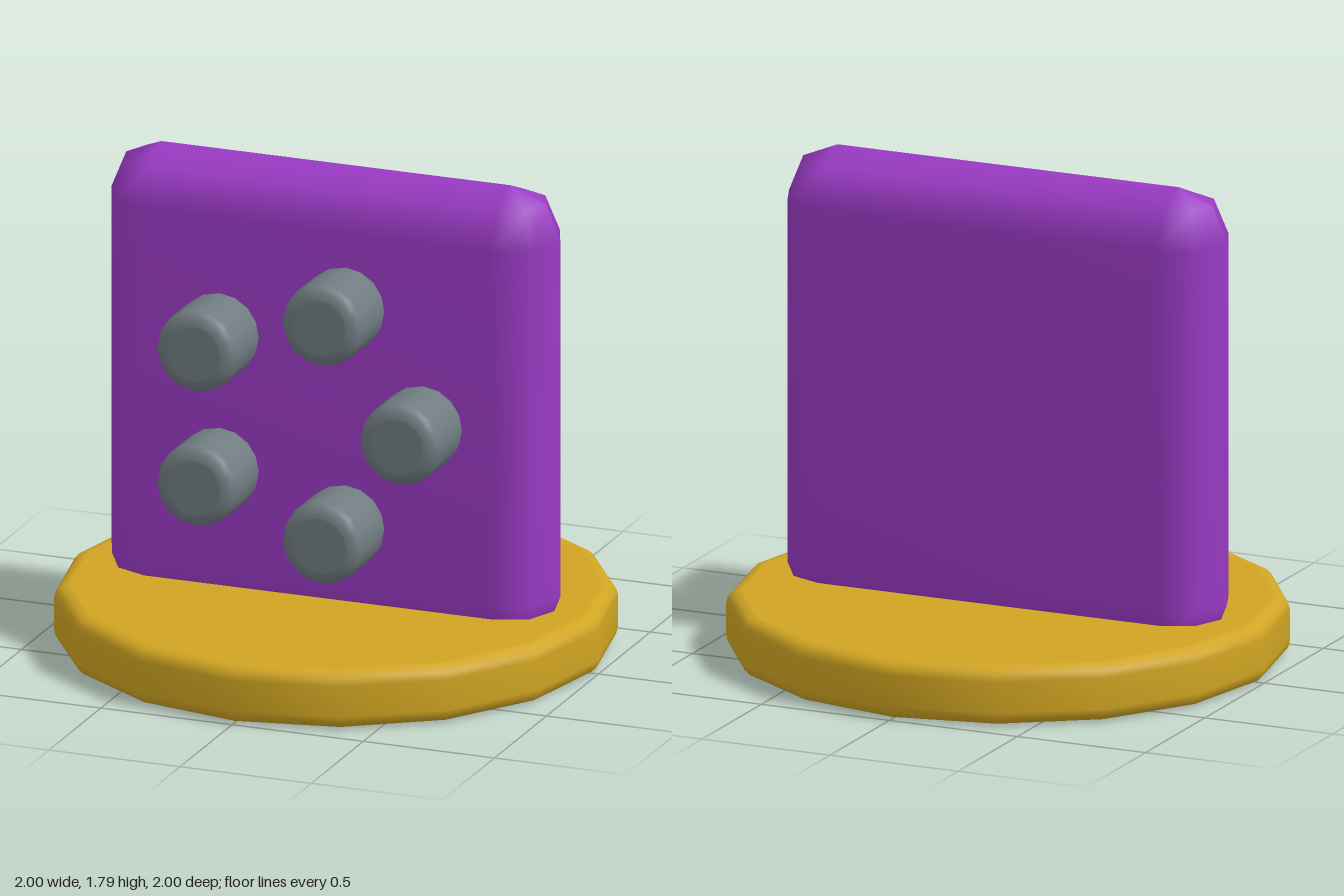
import * as THREE from 'three';

const material = (name, color) => {
  const m = new THREE.MeshStandardMaterial({ color });
  m.name = name;
  return m;
};

// Solid disc along y with rounded rims; flat caps stay flat up to the bevel
function roundedDisc(radius, height, bevel, sides) {
  const points = [new THREE.Vector2(0, 0), new THREE.Vector2(radius - bevel - 0.006, 0)];
  for (const top of [0, 1]) {
    for (let i = 0; i <= 3; i++) {
      const a = (i / 3 + top - 1) * Math.PI / 2;
      points.push(new THREE.Vector2(
        radius - bevel + bevel * Math.cos(a),
        (top ? height - bevel : bevel) + bevel * Math.sin(a)));
    }
  }
  points.push(new THREE.Vector2(radius - bevel - 0.006, height), new THREE.Vector2(0, height));
  return new THREE.LatheGeometry(points, sides);
}

// Box with coarse rounded edges: a stretched sphere split at its three mid-planes
function roundedSlab(width, height, depth, radius) {
  const half = [width / 2 - radius, height / 2 - radius, depth / 2 - radius];
  const positions = [], index = [], columns = 12, rows = 6;
  for (let r = 0; r < rows; r++) {
    const upper = r >= 3;
    const lat = (upper ? r - 3 : r - 2) * Math.PI / 4;
    for (let c = 0; c < columns; c++) {
      const quadrant = Math.floor(c / 3);
      const lon = (quadrant * 2 + c % 3) * Math.PI / 4;
      const sx = quadrant === 0 || quadrant === 3 ? 1 : -1;
      const sz = quadrant < 2 ? 1 : -1;
      positions.push(
        sx * half[0] + radius * Math.cos(lat) * Math.cos(lon),
        (upper ? 1 : -1) * half[1] + radius * Math.sin(lat),
        sz * half[2] + radius * Math.cos(lat) * Math.sin(lon));
      if (r < rows - 1 && c < columns - 1) {
        const a = r * columns + c, b = a + 1, d = a + columns, e = d + 1;
        index.push(a, d, b, b, d, e);
      }
    }
  }
  const geometry = new THREE.BufferGeometry();
  geometry.setAttribute('position', new THREE.Float32BufferAttribute(positions, 3));
  geometry.setIndex(index);
  geometry.computeVertexNormals();
  return geometry;
}

export function createModel() {
  const gold = material('gold', 0xd0a522);
  const purple = material('purple', 0x9b3bc6);
  const grey = material('grey', 0x707c81);
  const model = new THREE.Group();
  model.name = 'pegPanelOnStand';

  const add = (name, geometry, mat, x = 0, y = 0, z = 0) => {
    const mesh = new THREE.Mesh(geometry, mat);
    mesh.name = name;
    mesh.position.set(x, y, z);
    model.add(mesh);
  };

  // Sixteen-sided base
  add('base', roundedDisc(1, 0.214, 0.05, 16), gold);

  // Upright panel, its foot sunk into the base
  const middle = 0.933;
  add('panel', roundedSlab(1.71, 1.706, 0.38, 0.19), purple, 0, middle, 0);

  // Five pegs in a ring in front of the panel
  const pegGeometry = roundedDisc(0.152, 0.284, 0.046, 16).rotateX(Math.PI / 2);
  for (let i = 0; i < 5; i++) {
    const a = i * Math.PI * 2 / 5;
    add('peg' + (i + 1), pegGeometry, grey,
      0.428 * Math.cos(a), middle + 0.428 * Math.sin(a), 0.214);
  }
  return model;
}
